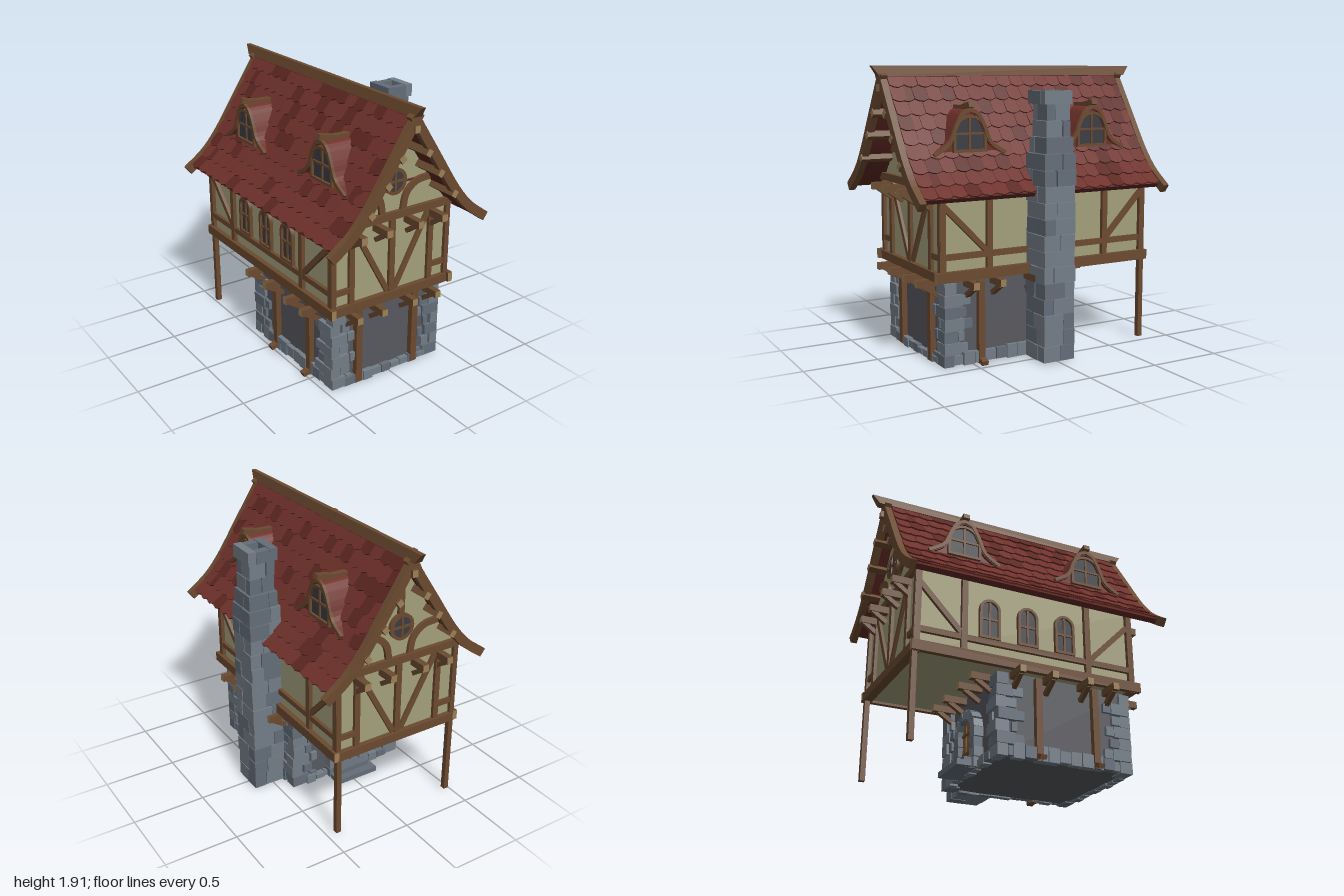
import * as THREE from 'three';
import { mergeGeometries } from 'three/addons/utils/BufferGeometryUtils.js';

const mat = (color) => new THREE.MeshStandardMaterial({ color, flatShading: true });
const V = (x, y, z = 0) => new THREE.Vector3(x, y, z);

export function createModel() {
  const model = new THREE.Group();
  const house = new THREE.Group();
  house.name = 'house';
  house.position.x = -0.025;
  model.add(house);

  const wood = mat(0x6b4a30), endGrain = mat(0x9c8058), plaster = mat(0xa3a07c), red = mat(0x6e302a);
  const redDark = mat(0x5c2621), stoneA = mat(0x737d87), stoneB = mat(0x646d79), wallGrey = mat(0x58595f);
  const glass = mat(0x3b3d43), doorWood = mat(0x8a5a30);
  const capped = [wood, wood, endGrain, endGrain, wood, wood];

  let seed = 7;
  const rnd = () => (seed = (seed * 16807) % 2147483647) / 2147483647;
  const jit = (a) => (rnd() - 0.5) * 2 * a;

  const add = (parent, name, geo, material, x = 0, y = 0, z = 0) => {
    const m = new THREE.Mesh(geo, material);
    m.name = name;
    m.position.set(x, y, z);
    parent.add(m);
    return m;
  };
  // Beam between two points
  const bar = (parent, name, a, b, w, d = w, material = wood) => {
    const dir = b.clone().sub(a), m = add(parent, name, new THREE.BoxGeometry(w, dir.length(), d), material);
    m.position.copy(a).add(b).multiplyScalar(0.5);
    m.quaternion.setFromUnitVectors(V(0, 1, 0), dir.normalize());
    return m;
  };
  const extrude = (shape, depth) => new THREE.ExtrudeGeometry(shape, { depth, bevelEnabled: false, curveSegments: 8 });
  // Curved flat board: band between offsets a and b of a curve, mirrored when s = -1
  const ribbon = (pts, a, b, depth, s = 1, n = 14) => {
    const c = new THREE.CatmullRomCurve3(pts.map(([x, y]) => V(x, y)));
    const side = (o) => Array.from({ length: n + 1 }, (_, i) => {
      const p = c.getPoint(i / n), t = c.getTangent(i / n);
      return new THREE.Vector2(s * (p.x + t.y * o), p.y - t.x * o);
    });
    return extrude(new THREE.Shape([...side(a), ...side(b).reverse()]), depth);
  };
  const archShape = (hw, y0, y1) => {
    const s = new THREE.Shape();
    s.moveTo(-hw, y0);
    s.lineTo(hw, y0);
    s.lineTo(hw, y1 - hw);
    s.absarc(0, y1 - hw, hw, 0, Math.PI, false);
    s.closePath();
    return s;
  };
  // Arched window facing +z
  const archWindow = (parent, hw, y0, y1, z) => {
    const frame = archShape(hw + 0.018, y0 - 0.018, y1 + 0.018);
    frame.holes.push(archShape(hw, y0, y1));
    add(parent, 'windowFrame', extrude(frame, 0.025), wood, 0, 0, z);
    add(parent, 'windowGlass', extrude(archShape(hw, y0, y1), 0.008), glass, 0, 0, z);
    bar(parent, 'windowMullion', V(0, y0, z + 0.01), V(0, y1, z + 0.01), 0.014, 0.016);
    bar(parent, 'windowCrossbar', V(-hw, (y0 + y1) / 2, z + 0.01), V(hw, (y0 + y1) / 2, z + 0.01), 0.014, 0.016);
  };
  // Stones are collected in two shades, then merged
  const stones = [[], []];
  const stone = (x, y, z, w, h, d, rotZ = 0) => {
    const g = new THREE.BoxGeometry(w, h, d);
    g.rotateZ(rotZ + jit(0.012)).rotateY(jit(0.03)).translate(x, y, z);
    stones[rnd() < 0.6 ? 0 : 1].push(g);
  };

  // Ground floor walls, back door
  add(house, 'groundFloorWalls', new THREE.BoxGeometry(0.83, 0.55, 0.9), wallGrey, 0, 0.285, 0.235);
  for (const [sx, z0, sz] of [[-1, 0.713, -1], [1, 0.713, -1], [-1, -0.25, 1], [1, -0.25, 1]]) {
    for (let i = 0; i < 7; i++) {
      const w = (i % 2 ? 0.075 : 0.12) + jit(0.015), d = (i % 2 ? 0.13 : 0.08) + jit(0.015), o = jit(0.007);
      stone(sx * (0.44 + o - w / 2), 0.039 + i * 0.078, z0 + sz * (d / 2 + o), w, 0.075, d);
      // smaller stones filling in beside the quoins
      if (i < 6) {
        stone(sx * (0.43 - w - 0.03), 0.039 + i * 0.078, z0 + sz * 0.03, 0.05 + jit(0.02), 0.06, 0.045);
        stone(sx * 0.415, 0.039 + i * 0.078, z0 + sz * (d + 0.03), 0.045, 0.06, 0.05 + jit(0.02));
      }
    }
  }
  for (let x = -0.3; x < 0.32; x += 0.075) {
    for (const z of [0.695, -0.23]) stone(x, 0.025, z, 0.07, 0.05 + jit(0.015), 0.05 + jit(0.01));
  }
  for (let z = -0.1; z < 0.6; z += 0.08) {
    for (const s of [-1, 1]) stone(s * 0.42, 0.045, z, 0.05 + jit(0.01), 0.085 + jit(0.02), 0.075);
  }
  add(house, 'door', extrude(archShape(0.095, 0.06, 0.36), 0.03), doorWood, 0, 0, -0.245);
  for (const x of [-0.032, 0.032]) add(house, 'doorBatten', new THREE.BoxGeometry(0.008, 0.26, 0.01), wood, x, 0.2, -0.248);
  for (const y of [0.14, 0.27]) add(house, 'doorStrap', new THREE.BoxGeometry(0.17, 0.018, 0.012), wood, 0, y, -0.248);
  for (const s of [-1, 1]) for (let i = 0; i < 4; i++) stone(s * 0.128, 0.035 + i * 0.068, -0.245, 0.065 + jit(0.012), 0.064, 0.07);
  for (let i = 0; i < 7; i++) {
    const a = (i + 0.5) * Math.PI / 7;
    stone(Math.cos(a) * 0.128, 0.265 + Math.sin(a) * 0.128, -0.245, 0.062, 0.056, 0.07, a);
  }
  stone(0, 0.035, -0.285, 0.26, 0.07, 0.1);
  stone(0, 0.018, -0.34, 0.32, 0.036, 0.1);

  // Ground floor posts with splayed feet
  for (const s of [-1, 1]) {
    bar(house, 'frontPost', V(s * 0.228, 0, 0.7), V(s * 0.228, 0.56, 0.7), 0.048);
    bar(house, 'rearSupportPost', V(s * 0.448, 0, -0.808), V(s * 0.448, 0.57, -0.808), 0.035);
    for (const z of s > 0 ? [0.45] : [0.45, 0.04]) {
      bar(house, 'sidePost', V(s * 0.43, 0, z), V(s * 0.43, 0.54, z), 0.045);
      bar(house, 'postFoot', V(s * 0.43, 0.03, z), V(s * 0.495, 0.008, z), 0.03, 0.045);
    }
  }

  // Floor joists running through, with diagonal brackets
  for (const x of [-0.315, -0.123, 0.123, 0.315]) {
    bar(house, 'floorJoist', V(x, 0.538, -0.38), V(x, 0.538, 0.85), 0.042, 0.046, capped);
    bar(house, 'joistBracket', V(x, 0.52, 0.8), V(x, 0.45, 0.7), 0.03);
    bar(house, 'joistBracket', V(x, 0.52, -0.34), V(x, 0.45, -0.23), 0.03);
    bar(house, 'gableJoist', V(x, 1.095, -0.93), V(x, 1.095, 0.88), 0.045, 0.048, capped);
    bar(house, 'gableJoistBracket', V(x, 1.08, 0.84), V(x, 1.01, 0.74), 0.03);
    bar(house, 'gableJoistBracket', V(x, 1.08, -0.91), V(x, 1.01, -0.81), 0.03);
  }
  for (const z of [0.545, 0.355, 0.1, -0.13]) {
    bar(house, 'crossJoist', V(-0.565, 0.538, z), V(0.565, 0.538, z), 0.046, 0.042, capped);
    for (const s of [-1, 1]) bar(house, 'joistBracket', V(s * 0.53, 0.52, z), V(s * 0.42, 0.45, z), 0.03);
  }

  // Upper storey body with gables
  const body = new THREE.Shape([[-0.445, 0.575], [0.445, 0.575], [0.445, 1.14], [0, 1.79], [-0.445, 1.14]].map((p) => new THREE.Vector2(...p)));
  add(house, 'upperWalls', extrude(body, 1.53), plaster, 0, 0, -0.8);

  // Gable timbers, same front and back
  for (const [z, turn] of [[0.735, 0], [-0.805, Math.PI]]) {
    const g = new THREE.Group();
    g.name = turn ? 'backGable' : 'frontGable';
    g.position.z = z;
    g.rotation.y = turn;
    house.add(g);
    bar(g, 'sill', V(-0.47, 0.59), V(0.47, 0.59), 0.06, 0.06);
    bar(g, 'tieBeam', V(-0.47, 1.145), V(0.47, 1.145), 0.05, 0.05);
    bar(g, 'centrePost', V(0, 0.6), V(0, 1.13), 0.042, 0.034);
    bar(g, 'kingPost', V(0, 1.45), V(0, 1.79), 0.04, 0.034);
    for (const s of [-1, 1]) {
      bar(g, 'cornerPost', V(s * 0.452, 0.6), V(s * 0.452, 1.13), 0.036, 0.036);
      bar(g, 'wallPost', V(s * 0.313, 0.6), V(s * 0.313, 1.13), 0.04, 0.034);
      bar(g, 'diagonalBrace', V(s * 0.29, 1.11), V(s * 0.03, 0.63), 0.036, 0.028);
      bar(g, 'shortRail', V(s * 0.33, 0.715), V(s * 0.45, 0.715), 0.038, 0.028);
      add(g, 'curvedBrace', ribbon([[0.29, 1.35], [0.18, 1.335], [0.105, 1.27], [0.08, 1.16]], -0.022, 0.022, 0.03, s), wood, 0, 0, -0.015);
    }
    const ring = new THREE.RingGeometry(0.066, 0.088, 24);
    add(g, 'roundWindowFrame', extrude(new THREE.Shape(new THREE.Path().absarc(0, 0, 0.087, 0, Math.PI * 2).getPoints(24)), 0.02), wood, 0, 1.375, 0);
    add(g, 'roundWindowRim', ring, wood, 0, 1.375, 0.03);
    add(g, 'roundWindowGlass', new THREE.CircleGeometry(0.068, 24), glass, 0, 1.375, 0.023);
    bar(g, 'roundWindowBar', V(0, 1.305, 0.024), V(0, 1.445, 0.024), 0.015, 0.014);
    bar(g, 'roundWindowBar', V(-0.07, 1.375, 0.024), V(0.07, 1.375, 0.024), 0.015, 0.014);
    // purlin ends under the verge
    const out = turn ? 0.13 : 0.22;
    bar(g, 'ridgePurlin', V(0, 1.76), V(0, 1.76, out), 0.04, 0.045, capped);
    for (const s of [-1, 1]) for (const [x, y] of [[0.1, 1.595], [0.2, 1.445], [0.32, 1.285]]) {
      const p = bar(g, 'purlinEnd', V(x * s, y), V(x * s, y, out), 0.045, 0.04, capped);
      p.rotateY(s * 0.95);
    }
  }

  // Side wall timbers
  for (const s of [-1, 1]) {
    const x = s * 0.455;
    bar(house, 'sideSill', V(s * 0.472, 0.595, -0.835), V(s * 0.472, 0.595, 0.785), 0.035, 0.066, capped);
    bar(house, 'sideRail', V(x, 0.718, -0.8), V(x, 0.718, 0.73), 0.028, 0.038);
    for (const z of [0.73, 0.4, -0.487, -0.8]) bar(house, 'sidePost', V(x, 0.6, z), V(x, 1.16, z), 0.033, 0.04);
    bar(house, 'sideBrace', V(x, 1.04, 0.72), V(x, 0.74, 0.42), 0.028, 0.036);
    bar(house, 'sideBrace', V(x, 1.04, -0.79), V(x, 0.74, -0.5), 0.028, 0.036);
  }
  for (const z of [-0.31, -0.04, 0.23]) {
    const w = new THREE.Group();
    w.name = 'sideWindow';
    w.position.set(-0.445, 0, z);
    w.rotation.y = -Math.PI / 2;
    house.add(w);
    archWindow(w, 0.055, 0.76, 1.0, 0);
  }

  // Roof slabs, verge boards and overlapping tiles
  const verge = [[0, 1.87], [0.2, 1.565], [0.36, 1.325], [0.47, 1.2], [0.618, 1.09]];
  const slope = [[0, 1.85], [0.2, 1.545], [0.35, 1.318], [0.45, 1.2], [0.565, 1.1]];
  const curve = new THREE.CatmullRomCurve3(slope.map(([x, y]) => V(x, y)));
  const tileShape = new THREE.Shape([[-0.048, 0.03], [-0.048, -0.092], [-0.022, -0.108], [0.008, -0.113], [0.048, -0.096], [0.048, 0.03]].map((p) => new THREE.Vector2(...p)));
  const tiles = [[], []], rows = 9, cols = 18, step = 1.765 / cols;
  for (const s of [-1, 1]) {
    add(house, 'roofSlab', ribbon(slope, 0, 0.035, 1.775, s), redDark, 0, 0, -0.87);
    for (const z of [-0.915, 0.903]) add(house, 'vergeBoard', ribbon(verge, 0, 0.062, 0.044, s), wood, 0, 0, z);
    for (let r = 0; r < rows; r++) {
      const u = r / rows, p = curve.getPointAt(u + 0.005), t = curve.getTangentAt(u + 0.055);
      const up = V(-s * t.x, -t.y), nrm = V(-s * t.y, t.x), across = up.clone().cross(nrm);
      for (let c = 0; c < cols + (r % 2); c++) {
        const z = Math.min(0.855, Math.max(-0.82, -0.865 + step * (c + (r % 2 ? 0 : 0.5))));
        const g = extrude(tileShape, 0.01);
        g.rotateX(-0.1 + jit(0.02)).rotateZ(jit(0.03));
        g.applyMatrix4(new THREE.Matrix4().makeBasis(across, up, nrm).setPosition(s * p.x, p.y, z));
        tiles[rnd() < 0.75 ? 0 : 1].push(g);
      }
    }
  }
  tiles.forEach((t, i) => add(house, 'roofTiles', mergeGeometries(t), i ? redDark : red));

  // Ridge beam, undercut at the ends and narrower on top
  const ridge = extrude(new THREE.Shape([[-1, 1.9], [1, 1.9], [0.95, 1.835], [-0.95, 1.835]].map((p) => new THREE.Vector2(...p))), 0.06);
  ridge.translate(0, 0, -0.03).rotateY(Math.PI / 2);
  const rp = ridge.attributes.position;
  for (let i = 0; i < rp.count; i++) if (rp.getY(i) > 1.88) rp.setX(i, rp.getX(i) * 0.5);
  ridge.computeVertexNormals();
  add(house, 'ridgeBeam', ridge, wood);

  // Bell-shaped dormers
  const bell = [[0, 1.63], [0.055, 1.605], [0.105, 1.52], [0.15, 1.42], [0.255, 1.35]];
  for (const s of [-1, 1]) for (const z of [0.48, -0.45]) {
    const d = new THREE.Group();
    d.name = 'dormer';
    d.position.set(s * 0.35, 0, z);
    d.rotation.y = s * Math.PI / 2;
    house.add(d);
    for (const m of [-1, 1]) {
      add(d, 'dormerRoof', ribbon(bell, -0.005, 0.02, 0.25, m), red, 0, 0, -0.24);
      add(d, 'dormerTrim', ribbon(bell, -0.008, 0.016, 0.02, m), wood);
    }
    const face = new THREE.Shape([...bell.map(([x, y]) => new THREE.Vector2(x, y)), ...bell.slice(1).reverse().map(([x, y]) => new THREE.Vector2(-x, y))]);
    add(d, 'dormerFace', extrude(face, 0.2), red, 0, -0.005, -0.21);
    archWindow(d, 0.1, 1.375, 1.575, -0.011);
    bar(d, 'dormerRidge', V(0, 1.66, 0.035), V(0, 1.638, -0.07), 0.045, 0.035);
    bar(d, 'dormerRidge', V(0, 1.638, -0.06), V(0, 1.635, -0.19), 0.04, 0.03);
  }

  // Chimney: courses of four stones, narrowing to a neck and an open cap
  for (let i = 0; i < 16; i++) {
    const h = 1.66 / 16, y = h * (i + 0.5), top = i > 13 ? 0.088 : i > 12 ? 0.104 : 0.117;
    const sx = jit(0.045), sz = jit(0.045);
    for (const [x0, x1] of [[-top, sx], [sx, top]]) for (const [z0, z1] of [[-top, sz], [sz, top]]) {
      stone(0.552 + (x0 + x1) / 2 + jit(0.004), y, (z0 + z1) / 2 + jit(0.004), x1 - x0 - 0.003, h - 0.003, z1 - z0 - 0.003);
    }
  }
  for (const s of [-1, 1]) {
    stone(0.545 + s * 0.076, 1.702, 0.005, 0.055, 0.085, 0.205);
    stone(0.545, 1.7, 0.005 + s * 0.076, 0.1, 0.08, 0.055);
  }
  stones.forEach((g, i) => add(house, 'stonework', mergeGeometries(g), i ? stoneB : stoneA));
  return model;
}
